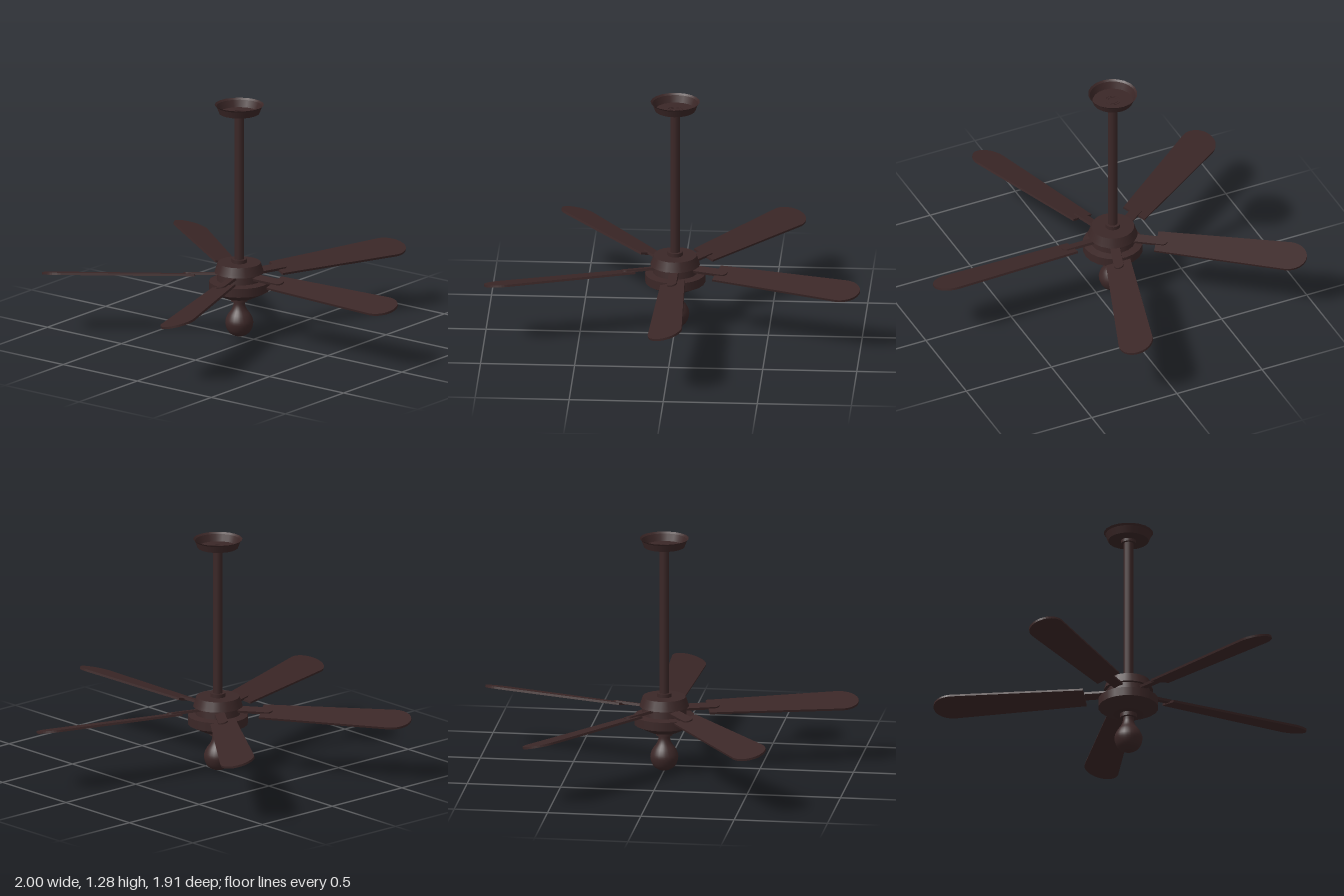
import * as THREE from 'three';

export function createModel() {
  const fan = new THREE.Group();
  fan.name = 'ceilingFan';

  const bronze = new THREE.MeshStandardMaterial({ color: 0x3b2727, side: THREE.DoubleSide });
  bronze.name = 'dark bronze';

  const add = (parent, name, geometry) => {
    const mesh = new THREE.Mesh(geometry, bronze);
    mesh.name = name;
    parent.add(mesh);
    return mesh;
  };

  // Hard-edged turned part: each profile segment gets its own band
  const turned = (name, profile, sides = 20) => {
    const part = new THREE.Group();
    part.name = name;
    for (let i = 0; i < profile.length - 1; i++) {
      const ends = [profile[i], profile[i + 1]].map(([r, y]) => new THREE.Vector2(r, y));
      add(part, name + 'Band', new THREE.LatheGeometry(ends, sides));
    }
    fan.add(part);
  };

  // Motor housing, bottom to top
  turned('motorHousing', [
    [0, 0.222], [0.08, 0.222], [0.16, 0.262], [0.16, 0.31], [0.12, 0.318],
    [0.115, 0.36], [0.132, 0.36], [0.128, 0.372], [0.115, 0.412], [0, 0.412],
  ]);
  turned('lampSocket', [[0, 0.2], [0.045, 0.2], [0.045, 0.224]]);
  turned('lowerCollar', [[0.04, 0.41], [0.04, 0.432], [0, 0.432]]);
  turned('downRod', [[0.026, 0.43], [0.026, 1.24]], 12);
  turned('upperCollar', [[0, 1.222], [0.04, 1.222], [0.04, 1.24]]);

  // Ceiling canopy, an open cup
  turned('canopy', [[0, 1.238], [0.108, 1.238], [0.122, 1.275], [0.131, 1.284]]);

  // Light bulb with a smooth pear profile
  const bulbCurve = new THREE.SplineCurve([
    [0, 0.004], [0.03, 0.011], [0.06, 0.034], [0.075, 0.08], [0.063, 0.12],
    [0.041, 0.152], [0.031, 0.178], [0.03, 0.202],
  ].map(([r, y]) => new THREE.Vector2(r, y)));
  const bulbPoints = bulbCurve.getPoints(28);
  bulbPoints.forEach((p) => { p.x = Math.max(p.x, 0); });
  add(fan, 'bulb', new THREE.LatheGeometry(bulbPoints, 24));

  // Blade outline: x across, y outward from the hub
  const bladeShape = new THREE.Shape();
  bladeShape.moveTo(-0.067, 0.235);
  bladeShape.lineTo(0.067, 0.235);
  bladeShape.lineTo(0.093, 0.945);
  bladeShape.absellipse(0, 0.945, 0.093, 0.102, 0, Math.PI, false);
  bladeShape.closePath();

  // Arm outline with a rounded end that sits on the blade root
  const armShape = new THREE.Shape();
  armShape.moveTo(-0.026, 0.09);
  armShape.lineTo(0.026, 0.09);
  armShape.lineTo(0.026, 0.27);
  armShape.absarc(0, 0.27, 0.026, 0, Math.PI, false);
  armShape.closePath();

  const plate = (shape, depth, top) => new THREE.ExtrudeGeometry(shape, {
    depth, bevelEnabled: false, curveSegments: 10,
  }).rotateX(Math.PI / 2).translate(0, top, 0);
  const bladeGeometry = plate(bladeShape, 0.012, 0.006);
  const armGeometry = plate(armShape, 0.014, 0.014);

  // Five pitched blades around the hub
  for (let i = 0; i < 5; i++) {
    const arm = new THREE.Group();
    arm.name = 'bladeAssembly' + (i + 1);
    const pitched = new THREE.Group();
    pitched.name = 'pitchedBlade';
    pitched.position.y = 0.34;
    pitched.rotation.z = 0.25;
    add(pitched, 'blade', bladeGeometry);
    add(pitched, 'bladeArm', armGeometry);
    arm.add(pitched);
    arm.rotation.y = (i * Math.PI * 2) / 5;
    fan.add(arm);
  }

  // Hub sits behind centre so the blade span is centred
  fan.position.z = -0.098;
  const model = new THREE.Group();
  model.name = 'model';
  model.add(fan);
  return model;
}
